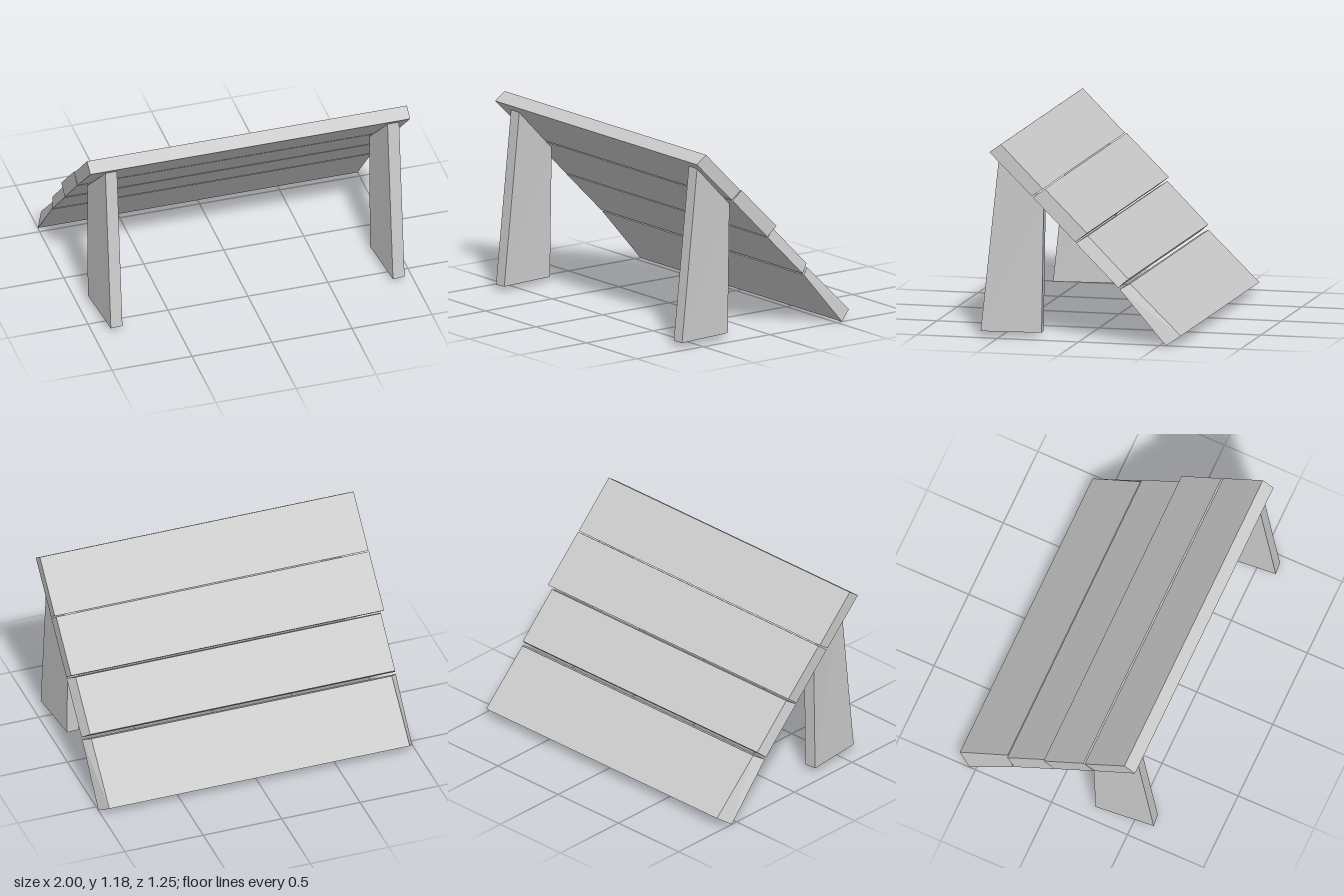
import * as THREE from 'three';

const material = new THREE.MeshStandardMaterial({ color: 0xcccccc, flatShading: true });

// A box whose corners are moved by a rule: corner(sx, sy, sz) gives [x, y, z], signs are -1 or 1
function block(name, corner) {
  const geometry = new THREE.BoxGeometry(2, 2, 2).toNonIndexed();
  const p = geometry.attributes.position;
  for (let i = 0; i < p.count; i++) {
    p.setXYZ(i, ...corner(Math.sign(p.getX(i)), Math.sign(p.getY(i)), Math.sign(p.getZ(i))));
  }
  geometry.computeVertexNormals();
  const mesh = new THREE.Mesh(geometry, material);
  mesh.name = name;
  return mesh;
}

// Picks from a [z, y] profile: front under, front upper, back upper, back under
const pick = (profile, sy, sz) => profile[sz > 0 ? (sy > 0 ? 1 : 0) : (sy > 0 ? 2 : 3)];

export function createModel() {
  const model = new THREE.Group();

  // Four sloping planks, highest first; the lower ones have bevelled ends
  const planks = [
    { profile: [[0.55, 1.13], [0.48, 1.18], [0.22, 0.92], [0.288, 0.874]], left: 1, right: 1 },
    { profile: [[0.28, 0.866], [0.21, 0.92], [-0.052, 0.662], [0.02, 0.606]], left: 0.995, right: 1 },
    { profile: [[0.016, 0.6], [-0.048, 0.642], [-0.3, 0.388], [-0.245, 0.34]], left: 0.965, right: 0.98 },
    { profile: [[-0.254, 0.33], [-0.308, 0.361], [-0.622, 0.056], [-0.54, 0]], left: 0.96, right: 0.955 },
  ];
  planks.forEach(({ profile, left, right }, i) => {
    model.add(block(`plank${i + 1}`, (sx, sy, sz) => {
      const [z, y] = pick(profile, sy, sz);
      return [sx * (sy > 0 ? (sx > 0 ? left : right) : 1), y, z];
    }));
  });

  // Two support legs, both turned slightly to the right, cut to meet the planks
  const legProfile = [[0.621, 0.03], [0.508, 1.09], [0.24, 0.826], [0.253, 0.03]];
  for (const [name, x] of [['leftLeg', 0.907], ['rightLeg', -0.857]]) {
    model.add(block(name, (sx, sy, sz) => {
      const [z, y] = pick(legProfile, sy, sz);
      return [x + sx * 0.037 + (sz < 0 ? -0.033 : 0), y, z - sx * 0.003];
    }));
  }
  return model;
}
